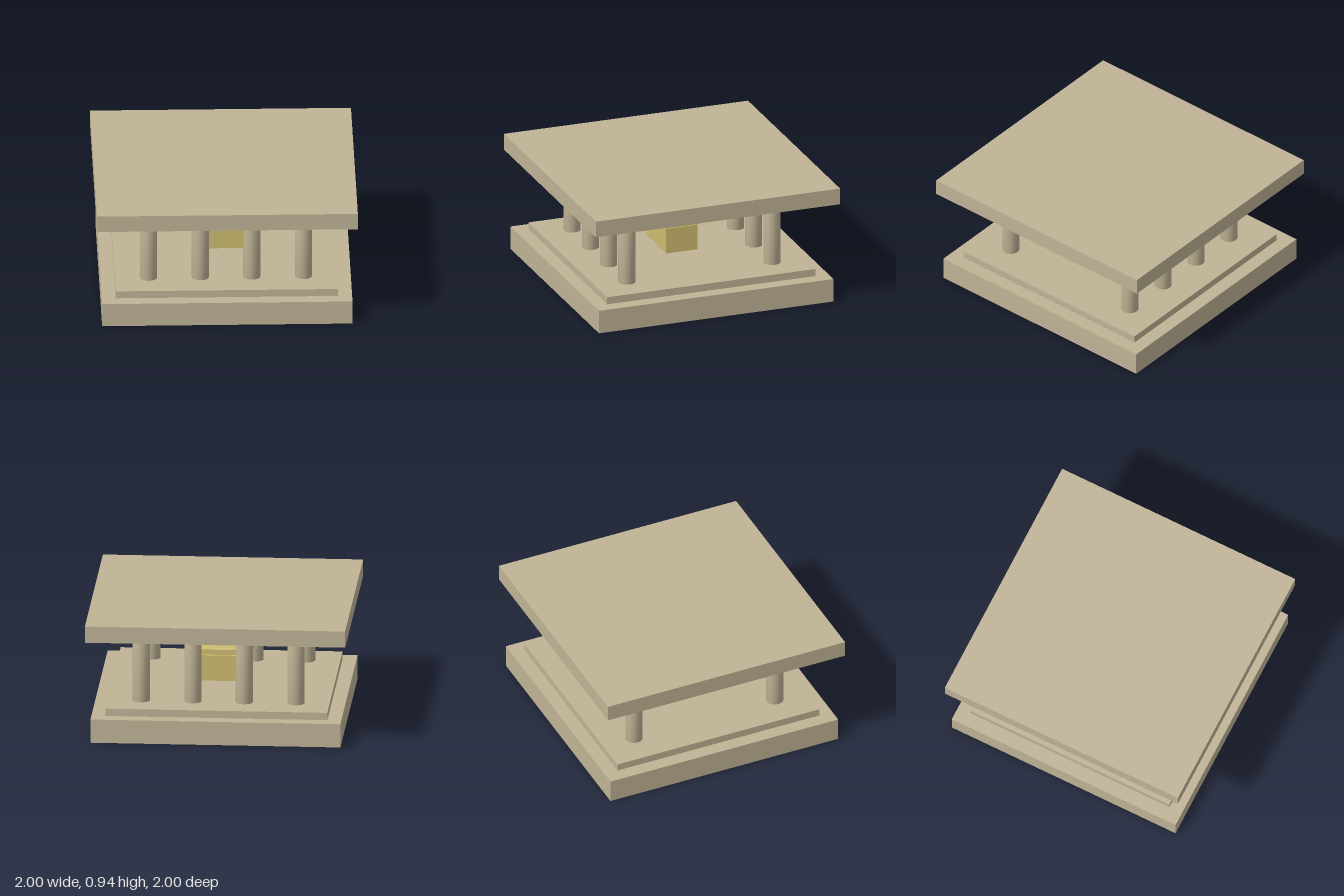
import * as THREE from 'three';

export function createModel() {
  const model = new THREE.Group();
  model.name = 'pavilion';

  const stone = new THREE.MeshStandardMaterial({ color: 0xc0b496 });
  stone.name = 'sandstone';
  const gold = new THREE.MeshStandardMaterial({ color: 0xcfbd70 });
  gold.name = 'pale gold';

  // Box resting between two heights, centred on the axis
  const block = (name, width, depth, bottom, top, material, parent = model) => {
    const mesh = new THREE.Mesh(new THREE.BoxGeometry(width, top - bottom, depth), material);
    mesh.position.y = (bottom + top) / 2;
    mesh.name = name;
    parent.add(mesh);
  };

  // Stepped platform and flat roof
  block('base', 1.92, 1.92, 0, 0.185, stone);
  block('step', 1.705, 1.705, 0.185, 0.243, stone);
  block('roof', 2, 2, 0.808, 0.937, stone);

  // Front and back rows of four columns, softly shaded into their ends
  const radius = 0.066, bottom = 0.243, top = 0.808;
  const profile = [[0, bottom], [radius, bottom], [radius, top], [0, top]]
    .map(([r, y]) => new THREE.Vector2(r, y));
  const columnGeometry = new THREE.LatheGeometry(profile, 32);
  const columns = new THREE.Group();
  columns.name = 'columns';
  for (const z of [-0.594, 0.594]) {
    for (const x of [-0.594, -0.197, 0.197, 0.594]) {
      const column = new THREE.Mesh(columnGeometry, stone);
      column.position.set(x, 0, z);
      column.name = z > 0 ? 'frontColumn' : 'backColumn';
      columns.add(column);
    }
  }
  model.add(columns);

  // Chest in the middle, with a slightly raised lid
  const chest = new THREE.Group();
  chest.name = 'chest';
  block('chestBody', 0.426, 0.256, 0.273, 0.475, gold, chest);
  block('chestLid', 0.446, 0.275, 0.483, 0.523, gold, chest);
  model.add(chest);

  return model;
}
